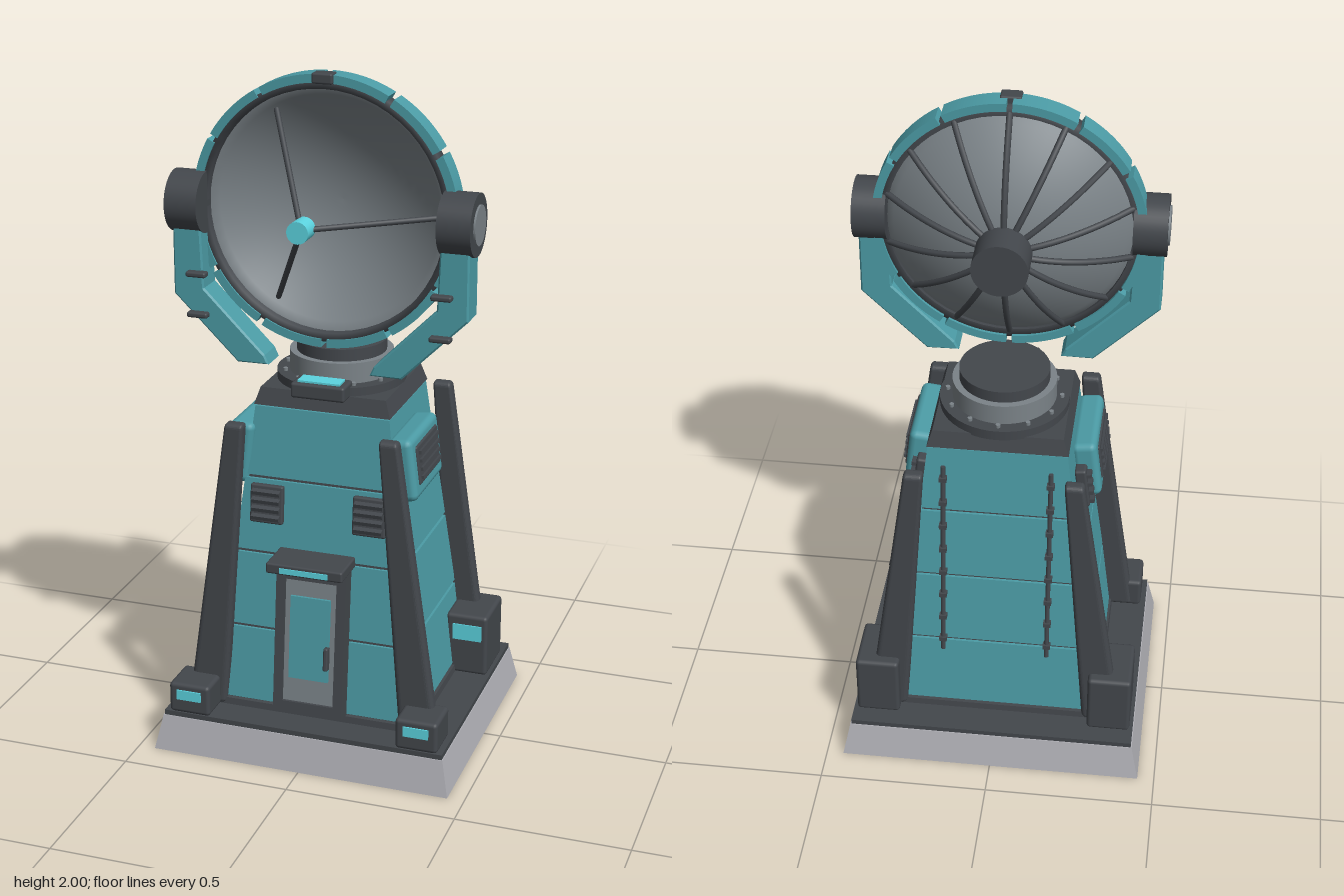
import * as THREE from 'three';
import { RoundedBoxGeometry } from 'three/addons/geometries/RoundedBoxGeometry.js';

const mat = (color, side = THREE.FrontSide) => new THREE.MeshStandardMaterial({ color, side });
const teal = mat(0x4c9ca6), dark = mat(0x43474c), grey = mat(0x7b8388), pale = mat(0xb0b0b6), glow = mat(0x5cd4e0);
const dishGrey = mat(0x7b8388, THREE.DoubleSide);

const lerp = THREE.MathUtils.lerp;
const V = (x, y, z) => new THREE.Vector3(x, y, z);
const Y0 = 0.12, Y1 = 1.04, DISH_Y = 1.61;
// half width and half depth of the tapering tower at height y
const hx = y => lerp(0.312, 0.2, (y - Y0) / (Y1 - Y0));
const hz = y => lerp(0.274, 0.178, (y - Y0) / (Y1 - Y0));
const TILT_Z = Math.atan(0.096 / 0.92), TILT_X = Math.atan(0.112 / 0.92);

function add(parent, name, geometry, material, x = 0, y = 0, z = 0) {
  const mesh = new THREE.Mesh(geometry, material);
  mesh.name = name;
  mesh.position.set(x, y, z);
  parent.add(mesh);
  return mesh;
}

function group(parent, name, x = 0, y = 0, z = 0) {
  const g = new THREE.Group();
  g.name = name;
  g.position.set(x, y, z);
  parent.add(g);
  return g;
}

const box = (w, h, d) => new THREE.BoxGeometry(w, h, d);
const soft = (w, h, d, r = 0.012) => new RoundedBoxGeometry(w, h, d, 2, Math.min(r, w / 2.1, h / 2.1, d / 2.1));
const cyl = (r, h, n = 40) => new THREE.CylinderGeometry(r, r, h, n);

// four-sided block whose half sizes differ at the bottom and the top
function frustum(y0, x0, z0, y1, x1, z1) {
  const g = box(2, 1, 2), p = g.attributes.position;
  for (let i = 0; i < p.count; i++) {
    const t = p.getY(i) + 0.5;
    p.setXYZ(i, p.getX(i) * lerp(x0, x1, t), lerp(y0, y1, t), p.getZ(i) * lerp(z0, z1, t));
  }
  g.computeVertexNormals();
  return g;
}
const towerSlice = (y0, y1, o) => frustum(y0, hx(y0) + o, hz(y0) + o, y1, hx(y1) + o, hz(y1) + o);

function rod(parent, name, a, b, r, material) {
  const m = add(parent, name, cyl(r, a.distanceTo(b), 10), material);
  m.position.copy(a).lerp(b, 0.5);
  m.quaternion.setFromUnitVectors(V(0, 1, 0), b.clone().sub(a).normalize());
}

// leaning leg, narrower at the top
function legGeometry(s) {
  const g = new RoundedBoxGeometry(0.1, 0.89, 0.042, 3, 0.015), p = g.attributes.position;
  for (let i = 0; i < p.count; i++) {
    const t = p.getY(i) / 0.89 + 0.5;
    p.setX(i, s * lerp(0.326, 0.228, t) + p.getX(i) / 0.05 * lerp(0.059, 0.028, t));
  }
  g.computeVertexNormals();
  return g;
}

function arcPlate(r0, r1, a0, a1, depth) {
  const s = new THREE.Shape();
  s.absarc(0, 0, r1, a0, a1, false);
  s.absarc(0, 0, r0, a1, a0, true);
  return new THREE.ExtrudeGeometry(s, { depth, bevelEnabled: false, curveSegments: 10 });
}

function buildTower(root) {
  add(root, 'plinth', frustum(0, 0.45, 0.4, 0.105, 0.428, 0.378), pale);
  add(root, 'plinthDeck', box(0.85, 0.02, 0.75), dark, 0, 0.11);
  const tower = group(root, 'tower');
  add(tower, 'towerCore', towerSlice(Y0, Y1, -0.008), dark);
  add(tower, 'towerSkirt', towerSlice(Y0, 0.14, 0.006), dark);
  const seams = [0.14, 0.37, 0.6, 0.825, Y1];
  for (let i = 0; i < 4; i++)
    add(tower, 'wallPanels', towerSlice(seams[i] + 0.005, seams[i + 1] - 0.005, 0), teal);
  add(tower, 'roofCap', frustum(Y1, 0.203, 0.183, 1.09, 0.187, 0.17), dark);

  // corner legs with their feet
  for (const s of [-1, 1]) {
    for (const z of [-0.266, 0.266]) add(root, 'leg', legGeometry(s), dark, 0, 0.565, z);
    add(root, 'frontFoot', soft(0.126, 0.095, 0.125), dark, s * 0.347, 0.165, 0.312);
    add(root, 'frontFootLight', box(0.075, 0.03, 0.006), glow, s * 0.347, 0.178, 0.376);
    add(root, 'rearFoot', soft(0.13, 0.195, 0.18), dark, s * 0.35, 0.213, -0.23);
    add(root, 'rearFootLight', box(0.09, 0.05, 0.006), glow, s * 0.353, 0.255, -0.139);
  }

  // entrance, leaning with the front wall
  const door = group(root, 'door', 0, 0.37, hz(0.37));
  door.rotation.x = -TILT_Z;
  add(door, 'frameLintel', box(0.21, 0.05, 0.1), dark, 0, 0.205);
  add(door, 'frameSill', box(0.21, 0.035, 0.1), dark, 0, -0.212);
  for (const s of [-1, 1]) add(door, 'frameJamb', box(0.027, 0.46, 0.1), dark, s * 0.0915);
  add(door, 'doorLeaf', box(0.16, 0.4, 0.08), grey, 0, -0.01);
  add(door, 'doorPanel', box(0.12, 0.25, 0.012), teal, 0, 0.005, 0.044);
  add(door, 'doorHandle', soft(0.014, 0.07, 0.025, 0.005), dark, 0.056, -0.045, 0.055);
  add(root, 'canopy', soft(0.23, 0.032, 0.125, 0.006), dark, 0, 0.608, 0.278);
  add(root, 'canopyLight', box(0.145, 0.016, 0.006), glow, 0, 0.606, 0.341);

  // louvres in the front wall
  for (const s of [-1, 1]) {
    const vent = group(root, 'frontVent', s * 0.155, 0.75, hz(0.75));
    vent.rotation.x = -TILT_Z;
    add(vent, 'ventPlate', soft(0.1, 0.115, 0.03, 0.006), dark);
    for (let i = 0; i < 4; i++) {
      const slat = add(vent, 'ventSlat', box(0.085, 0.012, 0.022), dark, 0, -0.037 + i * 0.025, 0.017);
      slat.rotation.x = 0.4;
    }
  }

  // equipment boxes on the side walls
  for (const s of [-1, 1]) {
    const unit = group(root, 'sideUnit', s * hx(0.89), 0.89, 0);
    unit.rotation.z = s * TILT_X;
    add(unit, 'unitHousing', soft(0.075, 0.185, 0.268, 0.02), teal, s * 0.027, 0.002, 0.072);
    add(unit, 'unitGrille', soft(0.016, 0.115, 0.2, 0.006), dark, s * 0.062, 0.008, 0.072);
    for (let i = 0; i < 4; i++)
      add(unit, 'unitSlat', box(0.012, 0.01, 0.175), dark, s * 0.071, -0.03 + i * 0.025, 0.072);
    add(unit, 'unitBackplate', soft(0.035, 0.13, 0.2, 0.008), dark, s * 0.015, -0.033, 0);
    for (let i = 0; i < 4; i++)
      add(unit, 'unitFin', box(0.02, 0.012, 0.03), dark, s * 0.036, -0.08 + i * 0.03, -0.08);
  }

  // conduits with clips on the rear wall
  for (const s of [-1, 1]) {
    const at = y => V(s * 0.155, y, -hz(y) - 0.008);
    rod(root, 'rearConduit', at(0.34), at(0.98), 0.007, dark);
    for (let i = 0; i < 8; i++) {
      const c = at(0.38 + i * 0.08);
      add(root, 'conduitClip', box(0.022, 0.014, 0.022), dark, c.x, c.y, c.z);
    }
  }
}

function buildTurntable(root) {
  const table = group(root, 'turntable');
  add(table, 'flange', cyl(0.187, 0.03, 48), dark, 0, 1.1);
  for (let i = 0; i < 12; i++) {
    const a = i * Math.PI / 6;
    add(table, 'flangeBolt', cyl(0.007, 0.012, 8), grey, 0.165 * Math.sin(a), 1.118, 0.165 * Math.cos(a));
  }
  add(table, 'bearing', cyl(0.15, 0.07, 48), grey, 0, 1.14);
  add(table, 'bearingCap', cyl(0.13, 0.04, 48), dark, 0, 1.19);
  add(table, 'controlBox', soft(0.16, 0.045, 0.08, 0.008), dark, 0, 1.108, 0.18);
  add(table, 'controlLight', box(0.125, 0.008, 0.05), glow, 0, 1.132, 0.182);
}

function buildYoke(root) {
  for (const s of [-1, 1]) {
    const yoke = group(root, s > 0 ? 'leftYoke' : 'rightYoke');
    const outline = [[0.425, 1.62], [0.425, 1.357], [0.24, 1.175], [0.155, 1.175], [0.165, 1.195], [0.345, 1.375], [0.355, 1.62]];
    const shape = new THREE.Shape(outline.map(([x, y]) => new THREE.Vector2(s * x, y)));
    add(yoke, 'yokeArm', new THREE.ExtrudeGeometry(shape, {
      depth: 0.08, bevelSize: 0.005, bevelThickness: 0.005, bevelSegments: 1 }), teal, 0, 0, 0.122);
    add(yoke, 'upperGrip', soft(0.06, 0.016, 0.03, 0.006), dark, s * 0.357, 1.42, 0.214);
    add(yoke, 'lowerGrip', soft(0.062, 0.016, 0.03, 0.006), dark, s * 0.355, 1.302, 0.214);
    add(yoke, 'pivotDrum', cyl(0.088, 0.095), dark, s * 0.392, DISH_Y + 0.005, 0.155).rotation.z = Math.PI / 2;
    add(yoke, 'pivotPlate', cyl(0.056, 0.01), grey, s * 0.44, DISH_Y + 0.005, 0.155).rotation.z = Math.PI / 2;
  }
}

function buildDish(root) {
  const dish = group(root, 'dish', 0, DISH_Y, 0);
  const bowlZ = r => -0.025 + 0.145 * (r / 0.35) ** 2;

  // shell turned about the z axis: outside to the rim, then back inside
  const profile = [];
  for (let i = 0; i <= 14; i++) profile.push(new THREE.Vector2(0.35 * i / 14, bowlZ(0.35 * i / 14)));
  for (let i = 14; i >= 0; i--) profile.push(new THREE.Vector2(0.348 * i / 14, bowlZ(0.35 * i / 14) + 0.012));
  add(dish, 'bowl', new THREE.LatheGeometry(profile, 56).rotateX(Math.PI / 2), dishGrey);

  // rim with a segmented guard
  const rimProfile = [[0.345, 0.105], [0.37, 0.105], [0.37, 0.155], [0.345, 0.155], [0.345, 0.105]];
  add(dish, 'rim', new THREE.LatheGeometry(rimProfile.map(([r, z]) => new THREE.Vector2(r, z)), 56)
    .rotateX(Math.PI / 2), mat(0x43474c, THREE.DoubleSide));
  for (let i = 0; i < 12; i++) {
    const a = i * Math.PI / 6;
    add(dish, 'rimGuard', arcPlate(0.362, 0.386, a + 0.022, a + Math.PI / 6 - 0.022, 0.064), teal, 0, 0, 0.096);
  }
  add(dish, 'rimClamp', soft(0.06, 0.03, 0.045, 0.006), dark, 0, 0.375, 0.15);

  // ribs running from the hub to the rim
  for (let i = 0; i < 14; i++) {
    const a = i * Math.PI / 7, pts = [];
    for (let j = 0; j <= 6; j++) {
      const r = lerp(0.05, 0.352, j / 6);
      pts.push(V(r * Math.sin(a), r * Math.cos(a), bowlZ(r) - 0.01));
    }
    add(dish, 'rib', new THREE.TubeGeometry(new THREE.CatmullRomCurve3(pts), 12, 0.009, 8), dark);
  }
  add(dish, 'hub', cyl(0.079, 0.1), dark, 0, 0, -0.08).rotation.x = Math.PI / 2;

  // receiver on three struts
  add(dish, 'receiver', cyl(0.031, 0.06, 24), glow, 0, 0, 0.342).rotation.x = Math.PI / 2;
  for (let i = 0; i < 3; i++) {
    const a = i * Math.PI * 2 / 3, c = Math.cos(a), s = Math.sin(a);
    rod(dish, 'receiverStrut', V(0.02 * c, 0.02 * s, 0.325), V(0.312 * c, 0.312 * s, bowlZ(0.312) + 0.01), 0.008, dark);
  }
}

export function createModel() {
  const root = new THREE.Group();
  root.name = 'dishTower';
  buildTower(root);
  buildTurntable(root);
  buildYoke(root);
  buildDish(root);
  return root;
}
